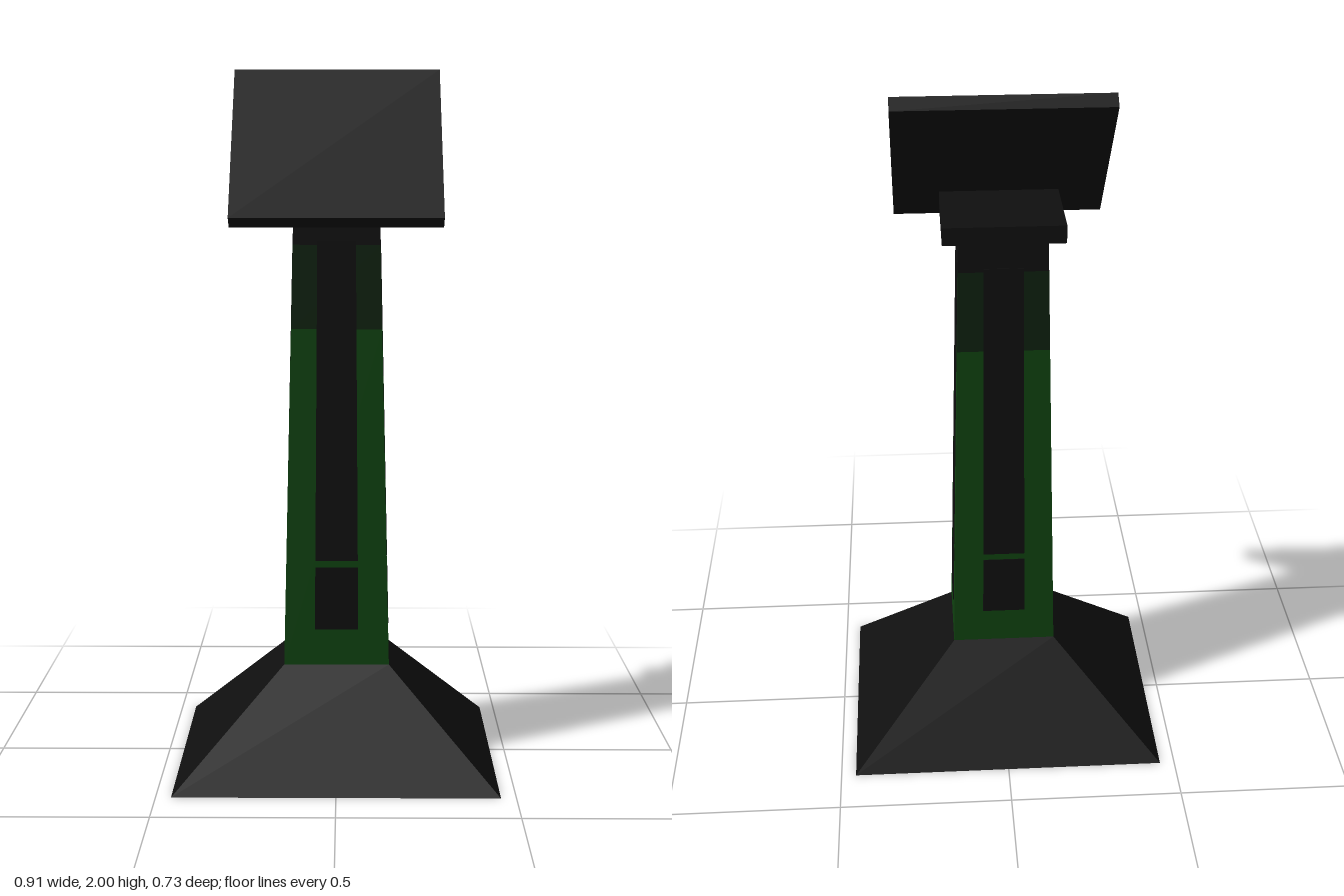
import * as THREE from 'three';

const BOTTOM = 0.305, TOP = 1.61;
const lerp = THREE.MathUtils.lerp;

// Half sizes of the tapering column at height y
const taper = (y) => (y - BOTTOM) / (TOP - BOTTOM);
const halfX = (y) => lerp(0.151, 0.12, taper(y));
const halfZ = (y) => lerp(0.125, 0.1, taper(y));
const halfPanel = (y) => lerp(0.063, 0.053, taper(y));

// Box whose unit corners are placed by a rule (x, z in -1..1, real y)
function ruledBox(y0, y1, rule) {
  const geo = new THREE.BoxGeometry(2, y1 - y0, 2).translate(0, (y0 + y1) / 2, 0);
  const p = geo.attributes.position;
  for (let i = 0; i < p.count; i++) {
    const y = p.getY(i);
    const [x, z] = rule(p.getX(i), y, p.getZ(i));
    p.setXYZ(i, x, y, z);
  }
  geo.computeVertexNormals();
  return geo;
}

export function createModel() {
  const group = new THREE.Group();
  const colour = (name, hex, side = THREE.FrontSide) => {
    const m = new THREE.MeshStandardMaterial({ color: hex, side });
    m.name = name;
    return m;
  };
  const black = colour('black', 0x0f0f0f, THREE.DoubleSide);
  const green = colour('green', 0x0f4210);
  const darkGreen = colour('darkGreen', 0x0e210f);
  const add = (name, geo, mat) => {
    const mesh = new THREE.Mesh(geo, mat);
    mesh.name = name;
    group.add(mesh);
    return mesh;
  };

  // Sloping foot, open above and below
  const foot = ruledBox(0, BOTTOM, (x, y, z) => {
    const t = y / BOTTOM;
    return [x * lerp(0.457, 0.151, t), z * lerp(0.367, 0.125, t)];
  });
  // Keep only the four sides: box faces come in sixes, with top and bottom third and fourth
  const index = Array.from(foot.index.array);
  foot.setIndex([...index.slice(0, 12), ...index.slice(24)]);
  add('foot', foot, black);

  // Column in three coloured bands
  const column = (x, y, z) => [x * halfX(y), z * halfZ(y)];
  add('columnLower', ruledBox(BOTTOM, 1.275, column), green);
  add('columnUpper', ruledBox(1.275, 1.51, column), darkGreen);
  add('columnNeck', ruledBox(1.51, TOP, column), black);

  // Inlaid panels on all four sides, with a green gap near the bottom
  for (const [y0, y1, name] of [[0.41, 0.592, 'lowerPanel'], [0.612, 1.52, 'upperPanel']]) {
    for (const s of [-1, 1]) {
      add(name, ruledBox(y0, y1, (x, y, z) =>
        [x * halfPanel(y), s * halfZ(y) + z * 0.002]), black);
      add(name, ruledBox(y0, y1, (x, y, z) =>
        [s * halfX(y) + x * 0.002, z * halfPanel(y)]), black);
    }
  }

  // Cap and tilted display board
  add('cap', new THREE.BoxGeometry(0.33, 0.05, 0.278), black).position.y = 1.63;
  const board = add('displayBoard', new THREE.BoxGeometry(0.584, 0.521, 0.043), black);
  board.position.set(0, 1.779, 0.052);
  board.rotation.x = -0.674;

  return group;
}
